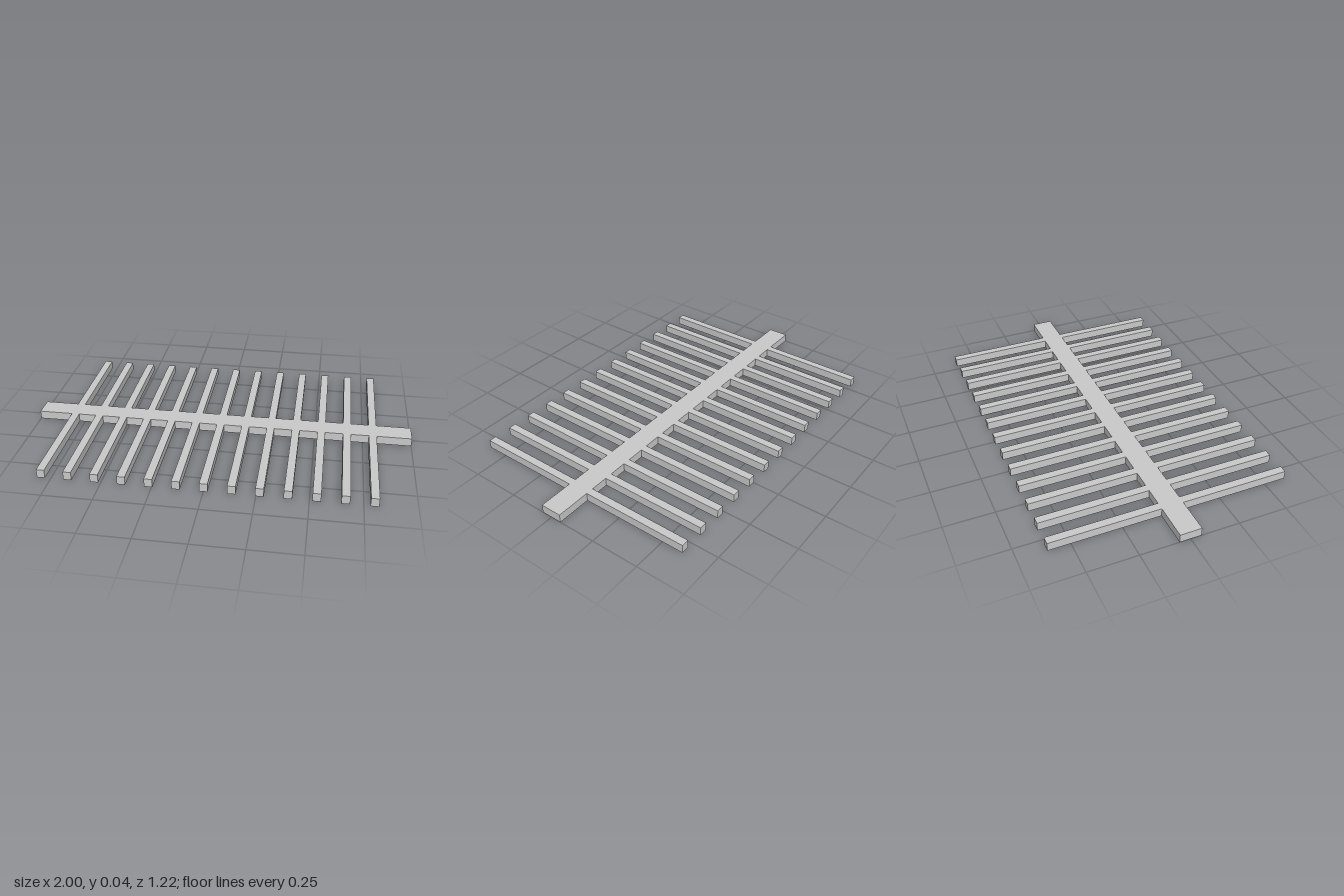
import * as THREE from 'three';

const HALF_LENGTH = 1;
const SPINE_HALF_WIDTH = 0.055;
const BAR_COUNT = 13;
const BAR_SPACING = 1.6 / 12;
const BAR_HALF_WIDTH = 0.02;
const BAR_REACH = 0.61;
const THICKNESS = 0.044;

// One long edge of the outline with its bars; side is -1 or 1
function addEdge(points, side) {
  const dir = -side;
  points.push(new THREE.Vector2(-dir * HALF_LENGTH, side * SPINE_HALF_WIDTH));
  for (let i = 0; i < BAR_COUNT; i++) {
    const x = dir * (i - (BAR_COUNT - 1) / 2) * BAR_SPACING;
    const a = x - dir * BAR_HALF_WIDTH;
    const b = x + dir * BAR_HALF_WIDTH;
    points.push(
      new THREE.Vector2(a, side * SPINE_HALF_WIDTH),
      new THREE.Vector2(a, side * BAR_REACH),
      new THREE.Vector2(b, side * BAR_REACH),
      new THREE.Vector2(b, side * SPINE_HALF_WIDTH)
    );
  }
  points.push(new THREE.Vector2(dir * HALF_LENGTH, side * SPINE_HALF_WIDTH));
}

export function createModel() {
  const group = new THREE.Group();
  group.name = 'barRack';

  // Central spine and crossing bars as one solid slab
  const outline = [];
  addEdge(outline, -1);
  addEdge(outline, 1);
  const geometry = new THREE.ExtrudeGeometry(new THREE.Shape(outline), {
    depth: THICKNESS,
    bevelEnabled: false,
  });
  geometry.rotateX(-Math.PI / 2);

  const rack = new THREE.Mesh(
    geometry,
    new THREE.MeshStandardMaterial({ color: 0xcccccc, flatShading: true })
  );
  rack.name = 'spineWithCrossBars';
  group.add(rack);
  return group;
}
